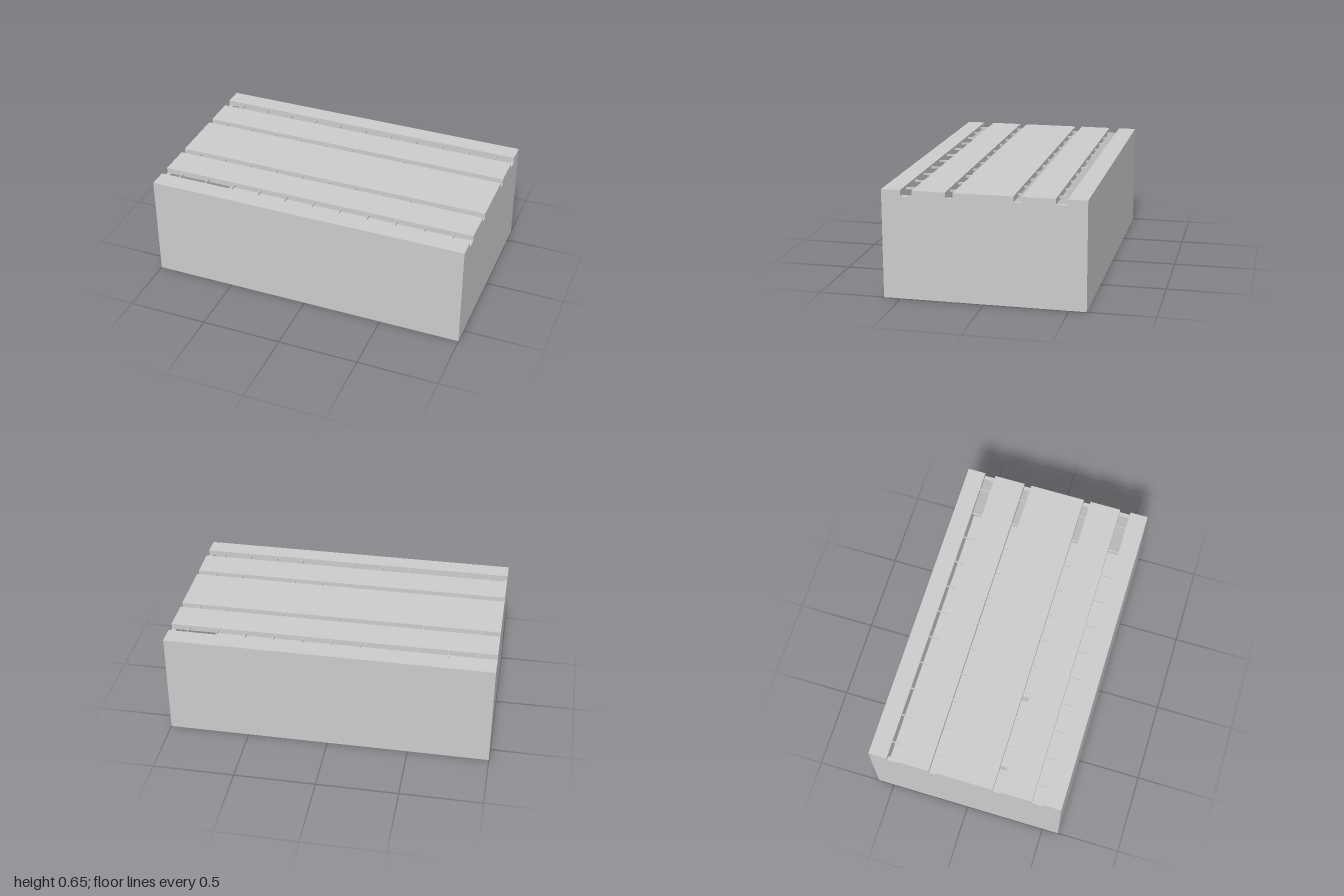
import * as THREE from 'three';

const material = new THREE.MeshStandardMaterial({ color: 0xcccccc, flatShading: true });

// Box given by its lower and upper corners
function box(name, [x0, y0, z0], [x1, y1, z1]) {
  const mesh = new THREE.Mesh(new THREE.BoxGeometry(x1 - x0, y1 - y0, z1 - z0), material);
  mesh.name = name;
  mesh.position.set((x0 + x1) / 2, (y0 + y1) / 2, (z0 + z1) / 2);
  return mesh;
}

export function createModel() {
  const model = new THREE.Group();
  model.name = 'slottedRoofBox';
  const top = 0.655, wallTop = 0.62, depth = 0.602, wall = 0.025;

  // Hollow body: floor and four walls
  const body = new THREE.Group();
  body.name = 'body';
  body.add(box('floor', [-1, 0, -depth], [1, wall, depth]));
  for (const s of [-1, 1]) {
    const x = s * (1 - wall / 2), z = s * (depth - wall / 2);
    body.add(box('endWall', [x - wall / 2, wall, -depth], [x + wall / 2, wallTop, depth]));
    body.add(box('longWall', [-1 + wall, wall, z - wall / 2], [1 - wall, wallTop, z + wall / 2]));
  }
  model.add(body);

  // Low blocks inside, glimpsed through the slots
  model.add(box('innerTable', [-0.22, wall, -0.2], [0.22, 0.12, 0.185]));
  model.add(box('innerBench', [-0.71, wall, -0.195], [-0.62, 0.12, 0.185]));

  // Roof panels with open slots between them
  const panels = [[-depth, -0.488], [-0.42, -0.222], [-0.177, 0.177], [0.222, 0.42], [0.488, depth]];
  for (const [z0, z1] of panels) {
    model.add(box('roofPanel', [-1, wallTop, z0], [1, top, z1]));
  }

  // Thin crossbars bridging every slot
  const bars = new THREE.Group();
  bars.name = 'crossbars';
  for (let p = 0; p < panels.length - 1; p++) {
    for (let i = -5; i <= 5; i++) {
      const x = i * 0.177;
      bars.add(box('crossbar', [x - 0.003, 0.632, panels[p][1]], [x + 0.003, 0.645, panels[p + 1][0]]));
    }
  }
  model.add(bars);
  return model;
}
